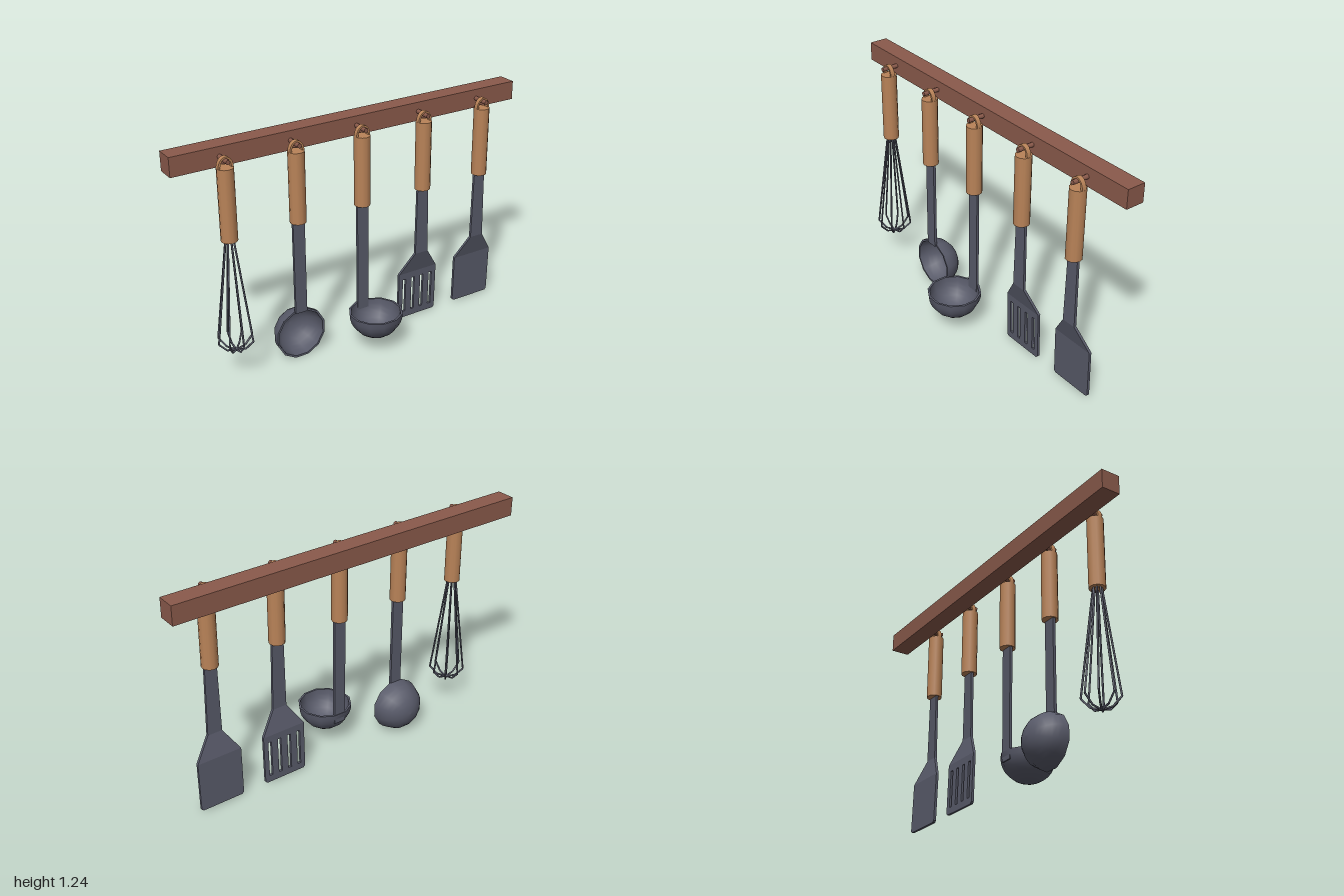
import * as THREE from 'three';
import { mergeGeometries } from 'three/addons/utils/BufferGeometryUtils.js';

const railWood = new THREE.MeshStandardMaterial({ color: 0x8a5a4b });
railWood.name = 'railWood';
const handleWood = new THREE.MeshStandardMaterial({ color: 0xb98358 });
handleWood.name = 'handleWood';
const metal = new THREE.MeshStandardMaterial({ color: 0x585a69 });
metal.name = 'metal';

const HANG_Z = -0.058;
const HANDLE_BOTTOM = 0.78, HANDLE_TOP = 1.155;

function addMesh(group, name, geometry, material) {
  const mesh = new THREE.Mesh(geometry, material);
  mesh.name = name;
  group.add(mesh);
  return mesh;
}

function outline(points) {
  return new THREE.Shape(points.map(([x, y]) => new THREE.Vector2(x, y)));
}

// Flat plate in the xy plane, sheared so its middle runs from (y0, z0) to (y1, z1)
function slantedPlate(shape, thickness, y0, z0, y1, z1) {
  const g = new THREE.ExtrudeGeometry(shape, { depth: thickness, bevelEnabled: false });
  const p = g.attributes.position;
  for (let i = 0; i < p.count; i++) {
    const t = (p.getY(i) - y0) / (y1 - y0);
    p.setZ(i, p.getZ(i) - thickness / 2 + z0 + t * (z1 - z0));
  }
  g.computeVertexNormals();
  return g;
}

// Straight wire between two points
function rod(a, b, radius) {
  const dir = b.clone().sub(a);
  const g = new THREE.CylinderGeometry(radius, radius, dir.length(), 6);
  g.applyQuaternion(new THREE.Quaternion().setFromUnitVectors(
    new THREE.Vector3(0, 1, 0), dir.normalize()));
  const mid = a.clone().add(b).multiplyScalar(0.5);
  return g.translate(mid.x, mid.y, mid.z);
}

// Hollow half-sphere with its opening facing up and a flat rim
function bowlGeometry(radius, wall) {
  const arc = (r) => Array.from({ length: 9 }, (_, i) => {
    const a = (i / 8) * Math.PI / 2;
    return new THREE.Vector2(r * Math.sin(a), -r * Math.cos(a));
  });
  const rim = [new THREE.Vector2(radius, 0), new THREE.Vector2(radius - wall, 0)];
  return mergeGeometries([arc(radius), rim, arc(radius - wall).reverse()].map(
    (points) => new THREE.LatheGeometry(points, 12, Math.PI / 12)));
}

// Wooden grip with its hanging loop, and the peg that carries it
function addHandle(group) {
  const h = HANDLE_TOP - HANDLE_BOTTOM;
  addMesh(group, 'handle', new THREE.CylinderGeometry(0.042, 0.042, h, 12), handleWood)
    .position.set(0, HANDLE_BOTTOM + h / 2, HANG_Z);

  const arch = new THREE.Shape();
  arch.moveTo(0.04, 0);
  arch.absellipse(0, 0, 0.04, 0.055, 0, Math.PI, false);
  arch.lineTo(-0.029, 0);
  arch.absellipse(0, 0, 0.029, 0.046, Math.PI, 0, true);
  const loop = new THREE.ExtrudeGeometry(arch, { depth: 0.024, bevelEnabled: false, curveSegments: 10 });
  addMesh(group, 'hangingLoop', loop, handleWood).position.set(0, HANDLE_TOP, HANG_Z - 0.012);

  const peg = new THREE.CylinderGeometry(0.012, 0.012, 0.1, 8).rotateX(Math.PI / 2);
  addMesh(group, 'peg', peg, railWood).position.set(0, 1.191, -0.07);
}

function addStem(group, bottom) {
  const len = HANDLE_BOTTOM + 0.01 - bottom;
  addMesh(group, 'stem', new THREE.BoxGeometry(0.066, len, 0.015), metal)
    .position.set(0, bottom + len / 2, HANG_Z);
}

// Whisk: four wire loops, giving eight evenly spread wires
function addWhisk(group) {
  const profile = [[0.02, 0.79], [0.092, 0.228], [0.05, 0.182], [0, 0.17]];
  const wires = [];
  for (let i = 0; i < 8; i++) {
    const a = (i * Math.PI) / 4;
    const pts = profile.map(([r, y]) =>
      new THREE.Vector3(r * Math.cos(a), y, HANG_Z + r * Math.sin(a)));
    for (let k = 0; k < 3; k++) wires.push(rod(pts[k], pts[k + 1], 0.005));
  }
  addMesh(group, 'whiskWires', mergeGeometries(wires), metal);
}

// Spoon: bowl facing forward under a straight stem
function addSpoon(group) {
  addStem(group, 0.268);
  addMesh(group, 'spoonBowl', bowlGeometry(0.143, 0.011).rotateX(Math.PI / 2), metal)
    .position.set(0, 0.14, -0.06);
}

// Ladle: bowl facing up in front of a straight stem
function addLadle(group) {
  addStem(group, 0.165);
  addMesh(group, 'ladleBowl', bowlGeometry(0.143, 0.011), metal).position.set(0, 0.217, 0.07);
}

// Spatula: tapered stem, slanting shoulder and a broad blade
function addSpatula(group, slotted) {
  const t = 0.014;
  const stem = outline([[-0.04, 0.405], [0.04, 0.405], [0.033, 0.79], [-0.033, 0.79]]);
  const shoulder = outline([[-0.122, 0.283], [0.122, 0.283], [0.04, 0.405], [-0.04, 0.405]]);
  const blade = outline([[-0.122, 0.018], [-0.112, 0.008], [0.112, 0.008],
    [0.122, 0.018], [0.122, 0.283], [-0.122, 0.283]]);
  if (slotted) {
    for (const x of [-0.086, -0.029, 0.029, 0.086]) {
      blade.holes.push(new THREE.Path([[-1, 0.045], [-1, 0.245], [1, 0.245], [1, 0.045]]
        .map(([s, y]) => new THREE.Vector2(x + s * 0.0095, y))));
    }
  }
  addMesh(group, 'stem', slantedPlate(stem, t, 0.405, HANG_Z, 0.79, HANG_Z), metal);
  addMesh(group, 'shoulder', slantedPlate(shoulder, t, 0.283, -0.09, 0.405, HANG_Z), metal);
  addMesh(group, 'blade', slantedPlate(blade, t, 0.008, -0.097, 0.283, -0.09), metal);
}

export function createModel() {
  const model = new THREE.Group();
  model.name = 'utensilRack';

  addMesh(model, 'rail', new THREE.BoxGeometry(2, 0.1, 0.1), railWood)
    .position.set(0, 1.19, -0.16);

  const utensils = [
    ['whisk', addWhisk],
    ['spoon', addSpoon],
    ['ladle', addLadle],
    ['slottedSpatula', (g) => addSpatula(g, true)],
    ['spatula', (g) => addSpatula(g, false)],
  ];
  utensils.forEach(([name, build], i) => {
    const group = new THREE.Group();
    group.name = name;
    group.position.x = (i - 2) * 0.375;
    addHandle(group);
    build(group);
    model.add(group);
  });
  return model;
}
